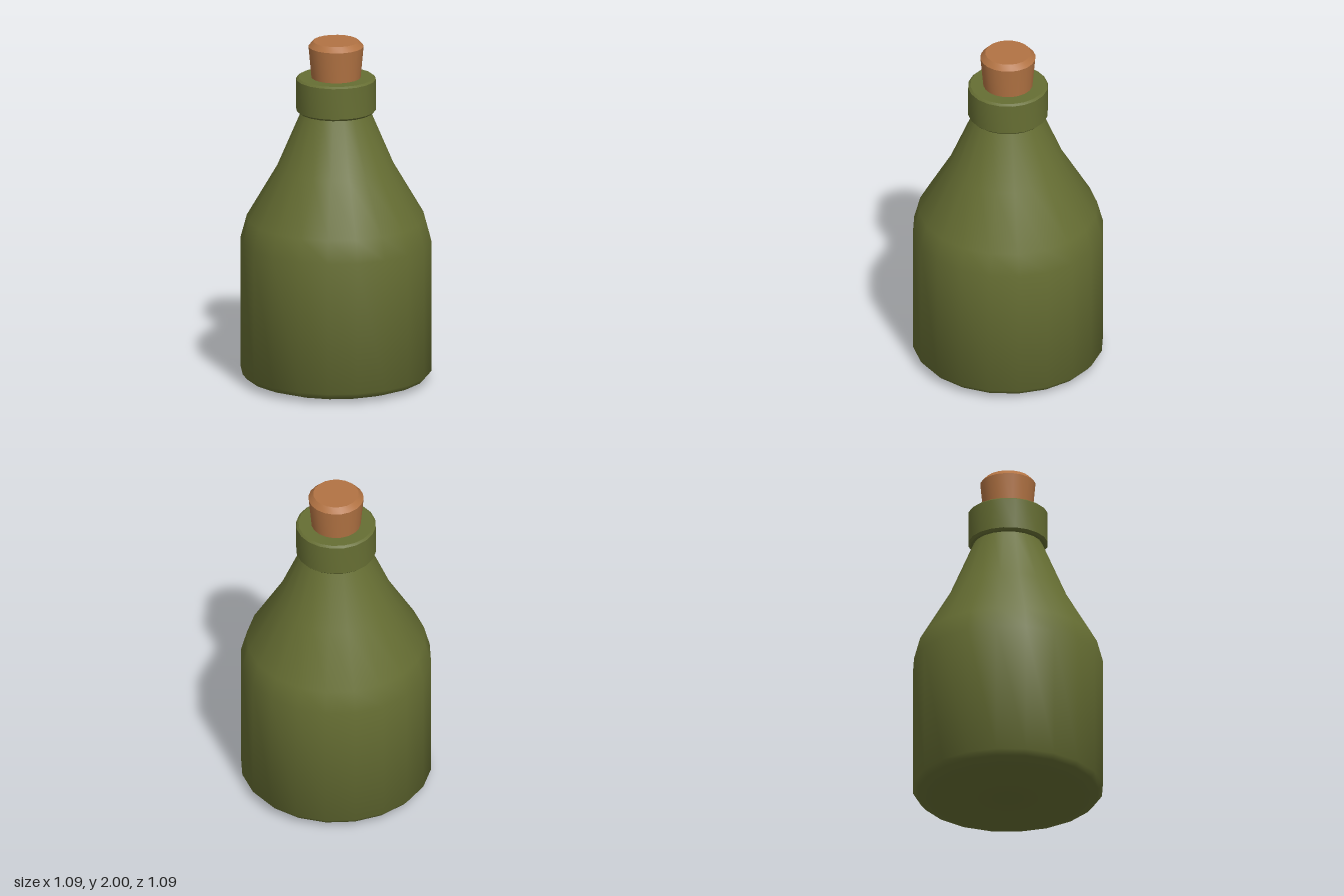
import * as THREE from 'three';
import { toCreasedNormals } from 'three/addons/utils/BufferGeometryUtils.js';

const SIDES = 20;

// Turned part from [radius, height] pairs, listed from bottom to top
function turned(name, profile, material, crease) {
  const points = profile.map(([r, y]) => new THREE.Vector2(r, y));
  const geometry = toCreasedNormals(new THREE.LatheGeometry(points, SIDES), crease);
  const mesh = new THREE.Mesh(geometry, material);
  mesh.name = name;
  return mesh;
}

export function createModel() {
  const glass = new THREE.MeshStandardMaterial({ color: 0x666e33 });
  const corkwood = new THREE.MeshStandardMaterial({ color: 0xb27343 });

  const bottle = new THREE.Group();
  bottle.name = 'bottle';

  // Body with rounded base, straight wall, shoulder and tapering neck
  bottle.add(turned('body', [
    [0, 0], [0.43, 0], [0.52, 0.03], [0.545, 0.06],
    [0.545, 0.83], [0.51, 0.96], [0.335, 1.26], [0.195, 1.59],
  ], glass, 0.8));

  // Collar around the mouth, with a narrow bevel above and below
  bottle.add(turned('collar', [
    [0, 1.585], [0.215, 1.585], [0.228, 1.597],
    [0.228, 1.778], [0.215, 1.788], [0, 1.788],
  ], glass, 0.6));

  // Cork, wider towards its bevelled top
  bottle.add(turned('cork', [
    [0, 1.7], [0.133, 1.7], [0.158, 1.97], [0.13, 2], [0, 2],
  ], corkwood, 0.6));

  return bottle;
}
